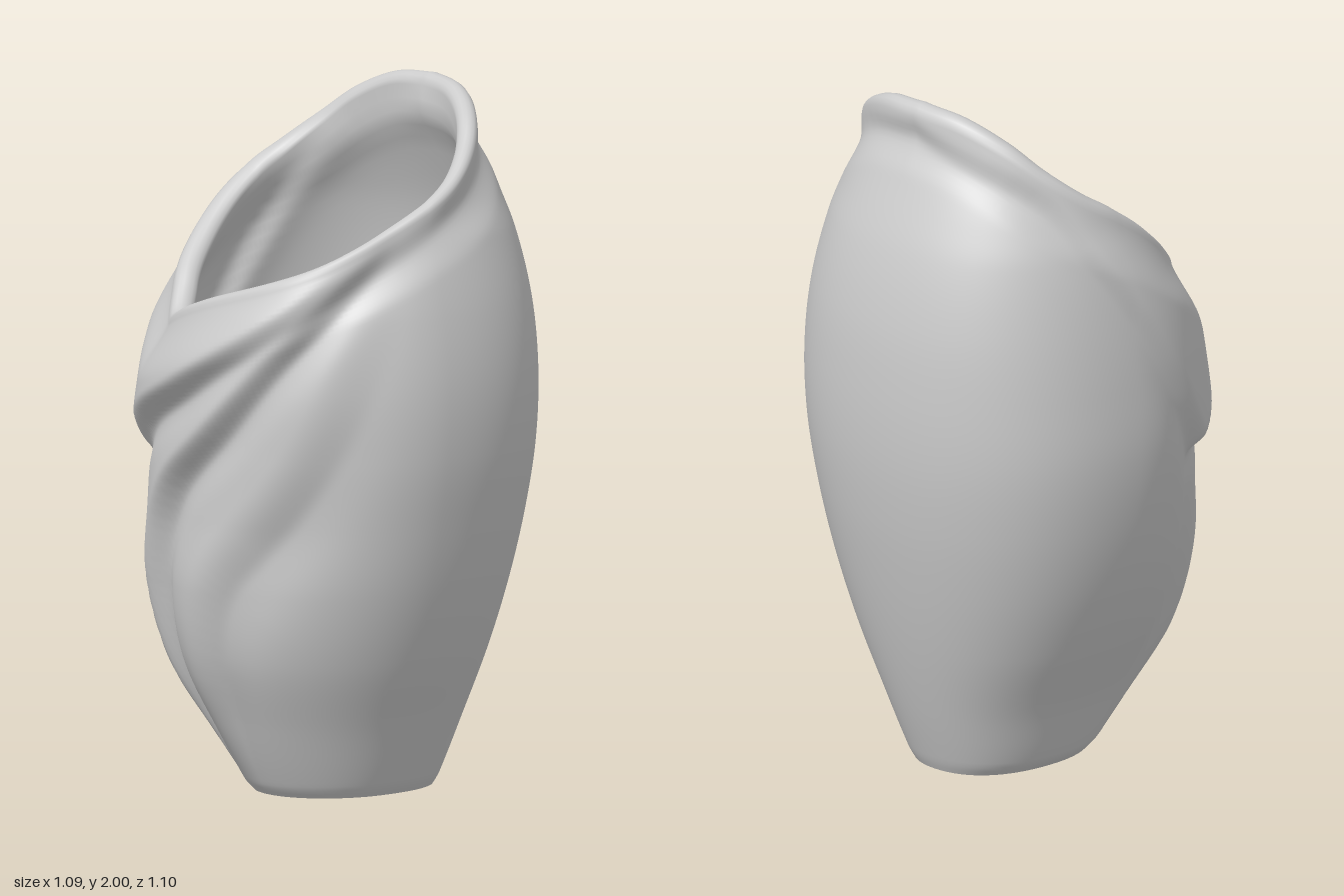
import * as THREE from 'three';

const DEG = Math.PI / 180;
const COLS = 220, OUTER = 130, LIP = 8, INNER = 50;
const FLOOR_Y = 0.05, FLOOR_WALL = 0.065;
const { smoothstep: smooth, lerp, clamp } = THREE.MathUtils;

// Smooth curve through [x, y] points
function curve(pts) {
  const n = pts.length;
  const slope = (i) => {
    const a = pts[Math.max(i - 1, 0)], b = pts[Math.min(i + 1, n - 1)];
    return (b[1] - a[1]) / (b[0] - a[0]);
  };
  return (x) => {
    if (x <= pts[0][0]) return pts[0][1];
    if (x >= pts[n - 1][0]) return pts[n - 1][1];
    let i = 0;
    while (x > pts[i + 1][0]) i++;
    const [x0, y0] = pts[i], [x1, y1] = pts[i + 1], h = x1 - x0, t = (x - x0) / h;
    const t2 = t * t, t3 = t2 * t;
    return y0 * (2 * t3 - 3 * t2 + 1) + y1 * (3 * t2 - 2 * t3)
      + h * (slope(i) * (t3 - 2 * t2 + t) + slope(i + 1) * (t3 - t2));
  };
}

// Body half-widths by height: +x side, -x side, front, back
const plusX = curve([[0, .2], [.03, .22], [.2, .29], [.4, .38], [.6, .45], [.8, .5], [1, .535], [1.2, .543], [1.4, .52], [1.6, .47], [1.7, .435], [1.8, .42], [2, .42]]);
const minusX = curve([[0, .21], [.03, .235], [.2, .3], [.4, .395], [.6, .47], [.8, .52], [1, .545], [1.2, .54], [1.4, .52], [1.6, .485], [1.7, .455], [1.8, .43], [2, .42]]);
const front = curve([[0, .24], [.03, .265], [.2, .35], [.4, .435], [.6, .467], [.8, .463], [1, .47], [1.2, .48], [1.4, .468], [1.5, .44], [1.8, .42]]);
const back = curve([[0, .285], [.03, .3], [.2, .36], [.4, .42], [.6, .47], [.8, .51], [1, .535], [1.2, .54], [1.4, .525], [1.6, .48], [1.8, .4], [1.9, .36], [2, .342]]);
const MOUTH = { plusX: 0.43, minusX: 0.445, front: 0.425, back: 0.342 };

// Rim height by angle in degrees: 0 is the front, 90 is +x
const rim = curve([[-180, 2], [-160, 1.985], [-141, 1.93], [-125, 1.855], [-107, 1.775], [-90, 1.71], [-65, 1.58], [-45, 1.465], [-31, 1.367], [-28, 1.36], [-24, 1.367], [0, 1.43], [28, 1.5], [45, 1.55], [60, 1.605], [75, 1.66], [90, 1.715], [107, 1.775], [125, 1.855], [141, 1.93], [160, 1.985], [180, 2]]);

// Half thickness of the rolled lip by angle
const lipRadius = curve([[-180, .035], [-90, .039], [-28, .034], [0, .03], [60, .024], [90, .024], [180, .035]]);

// Lower edges of the draped folds as [degrees, height], smoothed
const edge = (pts, n) => new THREE.SplineCurve(pts.map((p) => new THREE.Vector2(p[0] * DEG / 2, p[1]))).getPoints(n);
const collarEdge = edge([[-180, 1.91], [-135, 1.8], [-110, 1.63], [-90, 1.4], [-75, 1.2], [-60, 1.0], [-51, .92], [-38, .99], [-22, 1.07], [0, 1.17], [22, 1.3], [44, 1.43], [62, 1.52], [90, 1.63], [120, 1.75], [150, 1.87], [180, 1.91]], 80);
const middleEdge = edge([[-38, -.3], [-37, .1], [-35, .3], [-31, .5], [-24, .68], [-11, .87], [11, 1.05], [34, 1.28], [58, 1.48], [85, 1.66]], 50);
const lowerEdge = edge([[0, -.3], [0, .1], [3, .4], [11, .6], [24, .73], [37, .86], [51, 1.05], [64, 1.28], [75, 1.5]], 45);

const collarHeight = curve([[-180, .018], [-110, .022], [-80, .022], [-62, .026], [-48, .04], [-10, .052], [15, .052], [40, .04], [62, .024], [90, .014], [180, .018]]);

// Signed distance to a fold edge, positive above and to the left of it
function edgeDistance(pts, deg, y) {
  const u = deg * DEG / 2;
  let best = Infinity, sign = 1;
  for (let i = 0; i < pts.length - 1; i++) {
    const { x: ax, y: ay } = pts[i];
    const dx = pts[i + 1].x - ax, dy = pts[i + 1].y - ay;
    const t = clamp(((u - ax) * dx + (y - ay) * dy) / (dx * dx + dy * dy), 0, 1);
    const px = u - ax - t * dx, py = y - ay - t * dy, d = Math.hypot(px, py);
    if (d < best - 1e-9) { best = d; sign = dx * py - dy * px >= 0 ? 1 : -1; }
  }
  return sign * best;
}

// A roll of cloth above the edge and a shallow groove just below it
function fold(s, width, soft) {
  const roll = smooth(s, -0.4 * soft, soft) * Math.exp(-Math.max(s, 0) / width) * 1.25;
  return roll - 0.28 * Math.exp(-(((s + 0.4 * soft) / soft) ** 2));
}

function relief(deg, y) {
  let r = collarHeight(deg) * fold(edgeDistance(collarEdge, deg, y), 0.33, 0.055);
  const leftFade = smooth(deg, -60, -43), foot = smooth(y, -0.05, 0.35);
  const middle = leftFade * (1 - smooth(deg, 36, 78)) * foot;
  if (middle > 0) r += 0.056 * middle * fold(edgeDistance(middleEdge, deg, y), 0.18, 0.055);
  const lower = leftFade * (1 - smooth(deg, 25, 80)) * foot;
  if (lower > 0) r += 0.047 * lower * fold(edgeDistance(lowerEdge, deg, y), 0.2, 0.13);
  // Vertical crease where the drapery meets the side
  const crease = (deg + 51) * DEG * 0.5 / 0.03;
  return r - 0.01 * Math.exp(-crease * crease) * smooth(y, 0, 0.4) * (1 - smooth(y, 0.85, 0.97));
}

// Point on the wall, moved inward by inset
function wallPoint(deg, y, inset, height = y) {
  const s = Math.sin(deg * DEG), c = Math.cos(deg * DEG), top = rim(deg);
  const r = relief(deg, y) - inset;
  // The body is fuller at the back and front left, and settles into an oval mouth
  const mouth = smooth(y, top - 0.2, top + 0.02);
  const fullness = c < 0 ? 0.045 : s < 0 ? 0.025 : -0.01;
  const full = 1 + fullness * Math.sin(2 * deg * DEG) ** 2 * (1 - mouth);
  const x = lerp((s > 0 ? plusX : minusX)(y), s > 0 ? MOUTH.plusX : MOUTH.minusX, mouth);
  const z = lerp((c > 0 ? front : back)(y), c > 0 ? MOUTH.front : MOUTH.back, mouth);
  return [s * (x * full + r), height, c * (z * full + r)];
}

// Closed ring-by-ring surface
function sheet(rows, point) {
  const pos = [], idx = [];
  for (let j = 0; j <= rows; j++)
    for (let i = 0; i < COLS; i++) pos.push(...point(-180 + 360 * i / COLS, j));
  for (let j = 0; j < rows; j++)
    for (let i = 0; i < COLS; i++) {
      const n = (i + 1) % COLS, a = j * COLS + i, b = j * COLS + n;
      idx.push(a, b, a + COLS, b, b + COLS, a + COLS);
    }
  const g = new THREE.BufferGeometry();
  g.setAttribute('position', new THREE.Float32BufferAttribute(pos, 3));
  g.setIndex(idx);
  g.computeVertexNormals();
  return g;
}

export function createModel() {
  const group = new THREE.Group();
  group.name = 'drapedVase';
  const material = new THREE.MeshStandardMaterial({ color: 0xcccccc });
  const add = (name, geometry) => {
    const mesh = new THREE.Mesh(geometry, material);
    mesh.name = name;
    group.add(mesh);
  };

  // Outer wall, rounded lip and inner wall in one continuous skin
  add('vaseWall', sheet(OUTER + LIP + INNER, (deg, j) => {
    const lip = lipRadius(deg), top = rim(deg) - lip;
    if (j <= OUTER) return wallPoint(deg, top * j / OUTER, 0);
    if (j <= OUTER + LIP) {
      const p = Math.PI * (j - OUTER) / LIP;
      return wallPoint(deg, top, lip * (1 - Math.cos(p)), top + lip * Math.sin(p));
    }
    const t = (j - OUTER - LIP) / INNER;
    return wallPoint(deg, lerp(top, FLOOR_Y, t), lerp(2 * lip, FLOOR_WALL, t));
  }));

  // Underside and inside floor
  add('base', sheet(1, (deg, j) => (j ? wallPoint(deg, 0, 0) : [0, 0, 0])));
  add('innerFloor', sheet(1, (deg, j) => (j ? [0, FLOOR_Y, 0] : wallPoint(deg, FLOOR_Y, FLOOR_WALL))));
  return group;
}
